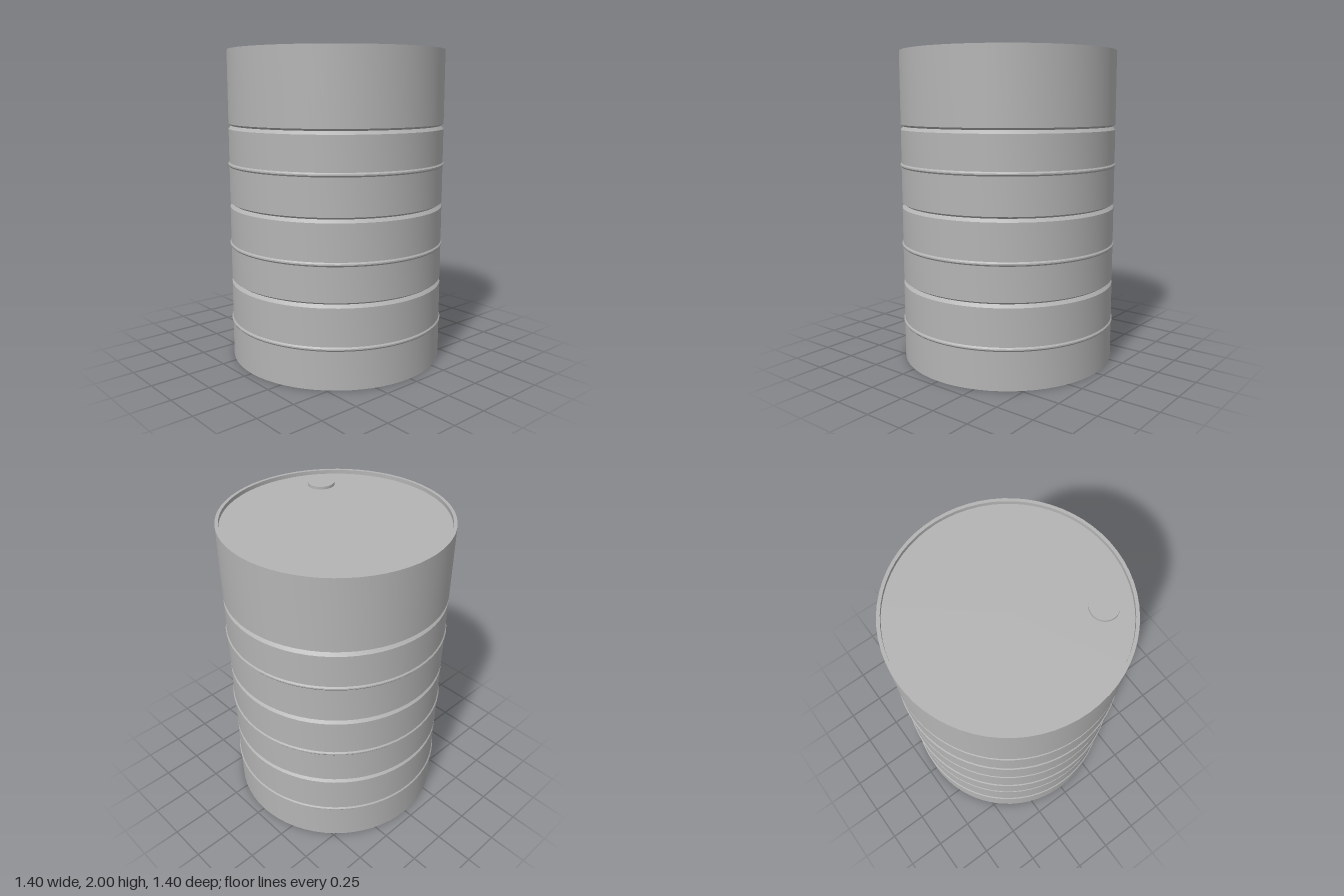
import * as THREE from 'three';
import { toCreasedNormals } from 'three/addons/utils/BufferGeometryUtils.js';

const R = 0.695;        // drum radius
const SEGMENTS = 64;
const LID_Y = 1.975;    // recessed lid height

export function createModel() {
  const model = new THREE.Group();
  model.name = 'drum';
  const steel = new THREE.MeshStandardMaterial({ color: 0xb4b4b4 });
  steel.name = 'grey steel';

  const add = (name, geometry) => {
    const mesh = new THREE.Mesh(geometry, steel);
    mesh.name = name;
    model.add(mesh);
    return mesh;
  };
  const lathe = (points) => toCreasedNormals(
    new THREE.LatheGeometry(points.map(([r, y]) => new THREE.Vector2(r, y)), SEGMENTS), 0.4);

  // Shell: flat base, then raised ribs alternating with V grooves, then the rim
  const shell = [[0, 0], [R, 0]];
  const ribs = [0.255, 0.765, 1.282];
  const grooves = [0.523, 1.025, 1.525];
  ribs.forEach((rib, i) => {
    const groove = grooves[i];
    shell.push([R, rib - 0.013], [R + 0.007, rib - 0.004], [R + 0.007, rib + 0.004], [R, rib + 0.013]);
    shell.push([R, groove - 0.018], [R - 0.017, groove + 0.002], [R, groove + 0.014]);
  });
  shell.push([R, 2], [R - 0.02, 2], [R - 0.02, LID_Y]);
  add('shell', lathe(shell));

  // Lid sunk inside the rim
  add('lid', lathe([[R - 0.02, LID_Y], [0, LID_Y]]));

  // Filler cap near the front right edge
  const cap = add('fillerCap', new THREE.CylinderGeometry(0.085, 0.085, 0.018, 40));
  cap.position.set(-0.28, LID_Y + 0.009, 0.43);

  return model;
}
